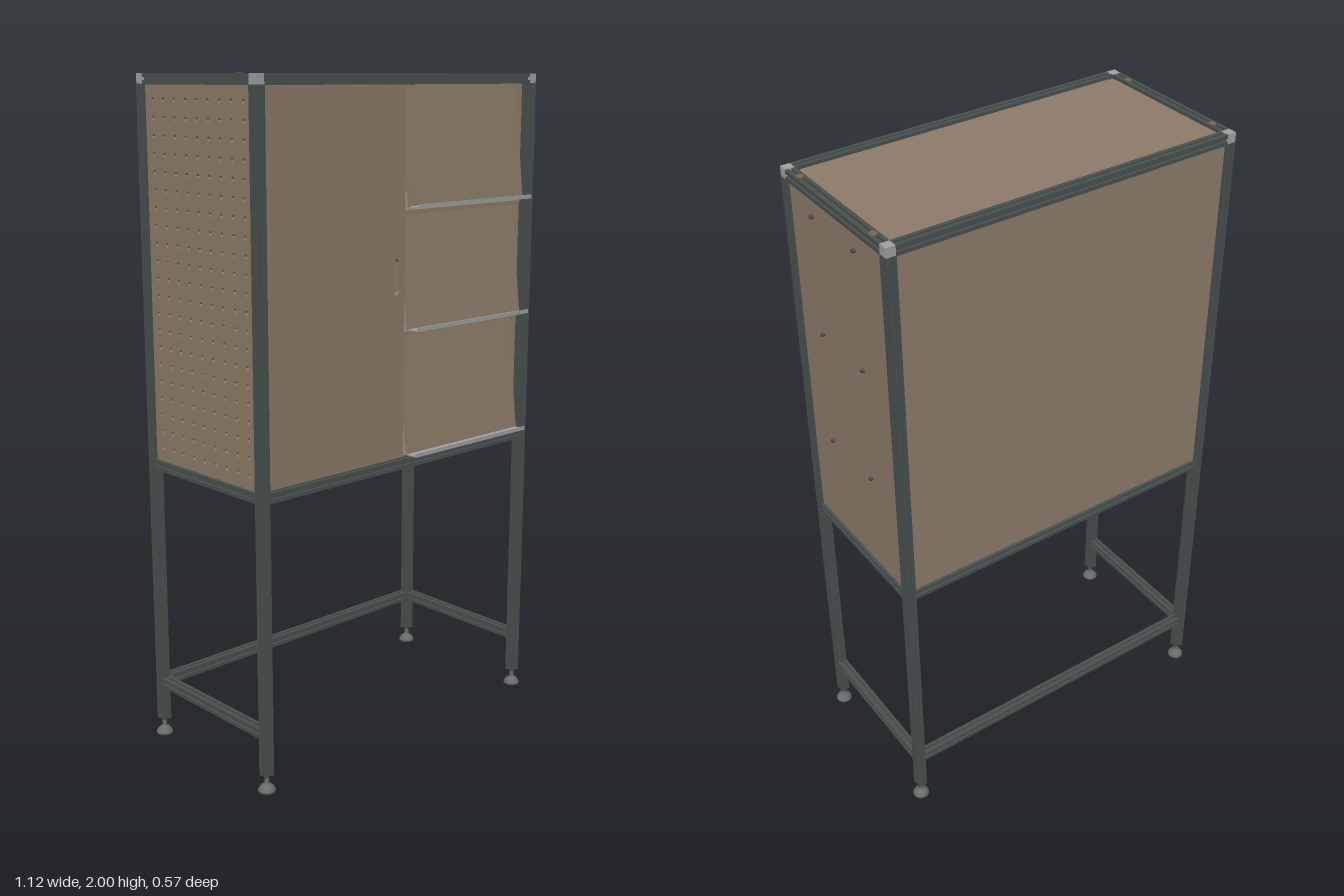
import * as THREE from 'three';

const W = 0.03;                 // beam width
const PX = 0.535;               // post centre, x
const ZF = 0.237, ZB = -0.261;  // post centres, front and back
const ZM = (ZF + ZB) / 2, DZ = ZF - ZB;

function material(name, color) {
  const m = new THREE.MeshStandardMaterial({ color });
  m.name = name;
  return m;
}

// Square beam section with one groove in each side
function beamShape() {
  const h = W / 2, g = 0.004, d = 0.007;
  const side = [[-h, -h], [-g, -h], [-g, -h + d], [g, -h + d], [g, -h]];
  const pts = [];
  for (let i = 0; i < 4; i++) {
    const c = Math.round(Math.cos(i * Math.PI / 2)), s = Math.round(Math.sin(i * Math.PI / 2));
    for (const [x, y] of side) pts.push(new THREE.Vector2(x * c - y * s, x * s + y * c));
  }
  return new THREE.Shape(pts);
}

function pill(cx, cy, w, h) {
  const p = new THREE.Path(), r = w / 2, k = h / 2 - r;
  p.absarc(cx, cy + k, r, 0, Math.PI, false);
  p.absarc(cx, cy - k, r, Math.PI, 2 * Math.PI, false);
  p.closePath();
  return p;
}

function rect(x0, y0, x1, y1) {
  return new THREE.Shape([[x0, y0], [x1, y0], [x1, y1], [x0, y1]].map(p => new THREE.Vector2(...p)));
}

export function createModel() {
  const group = new THREE.Group();
  const frame = material('dark frame', 0x4a5250);
  const board = material('brown board', 0x8f7d6b);
  const metal = material('light metal', 0xa2a3a6);
  const footMat = material('foot grey', 0x686c6b);
  const stud = material('copper brown', 0x80664f);

  const add = (name, geo, mat, x = 0, y = 0, z = 0) => {
    const m = new THREE.Mesh(geo, mat);
    m.name = name;
    m.position.set(x, y, z);
    group.add(m);
    return m;
  };
  const box = (name, mat, w, h, d, x, y, z) => add(name, new THREE.BoxGeometry(w, h, d), mat, x, y, z);
  const beam = (name, len, axis, x, y, z) => {
    const geo = new THREE.ExtrudeGeometry(beamShape(), { depth: len, bevelEnabled: false });
    geo.translate(0, 0, -len / 2);
    if (axis === 'x') geo.rotateY(Math.PI / 2);
    if (axis === 'y') geo.rotateX(Math.PI / 2);
    return add(name, geo, frame, x, y, z);
  };

  // Posts with corner caps and levelling feet
  const footProfile = [[0, 0], [0.0255, 0], [0.0255, 0.007], [0.019, 0.017], [0.009, 0.025],
    [0.007, 0.028], [0.007, 0.055]].map(p => new THREE.Vector2(...p));
  for (const x of [-PX, PX]) for (const z of [ZF, ZB]) {
    beam('post', 1.922, 'y', x, 1.011, z);
    box('cornerCap', metal, 0.028, 0.028, 0.028, x, 1.986, z);
    const foot = add('foot', new THREE.LatheGeometry(footProfile, 24), footMat, x, 0, z);
    foot.material.flatShading = false;
  }

  // Horizontal beams; the lower front stays open
  for (const y of [1.985, 0.874, 0.177]) {
    for (const x of [-PX, PX]) beam('sideBeam', DZ - W, 'z', x, y, ZM);
    beam('backBeam', 2 * PX - W, 'x', 0, y, ZB);
    if (y > 0.5) beam('frontBeam', 2 * PX - W, 'x', 0, y, ZF);
  }
  beam('middleBottomBeam', DZ - W, 'z', 0, 0.874, ZM);

  // Fastener studs on the top side beams
  for (const x of [-PX, PX]) for (const z of [-0.195, 0.17]) {
    const s = add('topStud', new THREE.CylinderGeometry(0.012, 0.012, 0.004, 16), stud, x, 1.9985, z);
    s.scale.x = 0.8;
  }

  // Top panel with clipped corners
  const a = 0.524, b = 0.238, c = 0.022;
  const topShape = new THREE.Shape([[-a + c, -b], [a - c, -b], [a, -b + c], [a, b - c],
    [a - c, b], [-a + c, b], [-a, b - c], [-a, -b + c]].map(p => new THREE.Vector2(...p)));
  const topGeo = new THREE.ExtrudeGeometry(topShape, { depth: 0.01, bevelEnabled: false });
  topGeo.rotateX(-Math.PI / 2);
  add('topPanel', topGeo, board, 0, 1.98, ZM);

  // Back, bottom and plain side panels
  const yLow = 0.886, yHigh = 1.973, yMid = (yLow + yHigh) / 2, hgt = yHigh - yLow;
  box('backPanel', board, 2 * PX - W + 0.006, hgt, 0.012, 0, yMid, ZB);
  for (const s of [-1, 1]) {
    box('bottomPanel', board, PX - W + 0.004, 0.01, DZ - W + 0.004, s * PX / 2, 0.876, ZM);
  }
  box('sidePanel', board, 0.012, hgt, DZ - W + 0.006, PX, yMid, ZM);

  // Perforated side panel
  const hw = (DZ - W + 0.006) / 2;
  const peg = rect(-hw, -hgt / 2, hw, hgt / 2);
  for (let i = -4; i <= 4; i++) for (let j = -10; j <= 10; j++) {
    const hole = new THREE.Path();
    hole.absarc(i * 0.05, j * 0.05, 0.0065, 0, Math.PI * 2, true);
    peg.holes.push(hole);
  }
  const pegGeo = new THREE.ExtrudeGeometry(peg, { depth: 0.01, bevelEnabled: false, curveSegments: 4 });
  pegGeo.translate(0, 0, -0.005);
  pegGeo.rotateY(Math.PI / 2);
  add('perforatedPanel', pegGeo, board, -PX, yMid, ZM);

  // Screws through the plain side panel
  for (const y of [1.915, 1.56, 1.2]) for (const z of [-0.107, 0.105]) {
    const g = new THREE.CylinderGeometry(0.006, 0.006, 0.034, 10);
    g.rotateZ(Math.PI / 2);
    add('sideScrew', g, frame, PX - 0.002, y, z);
  }

  // Divider and shelves
  box('divider', board, 0.018, hgt, DZ - 0.012, 0.002, yMid, ZM);
  for (const y of [1.612, 1.26]) box('shelf', board, 0.505, 0.012, DZ - 0.02, 0.264, y, ZM);

  // Door with a recessed pull
  const doorShape = rect(-0.519, 0.893, -0.012, 1.968);
  doorShape.holes.push(pill(-0.036, 1.432, 0.024, 0.105));
  const doorGeo = new THREE.ExtrudeGeometry(doorShape, { depth: 0.014, bevelEnabled: false, curveSegments: 8 });
  add('door', doorGeo, board, 0, 0, 0.229);
  box('pullBack', board, 0.036, 0.12, 0.004, -0.036, 1.432, 0.227);

  // Leaning flaps, each with a metal channel along its foot
  const channel = new THREE.Shape([[-0.004, 0.032], [-0.004, 0.004], [0.034, 0.004], [0.034, 0.012],
    [0.036, 0.012], [0.036, 0], [-0.008, 0], [-0.008, 0.032]].map(p => new THREE.Vector2(...p)));
  for (const [y0, y1] of [[1.627, 1.968], [1.271, 1.604], [0.894, 1.251]]) {
    const h = y1 - y0;
    const flap = box('flap', board, 0.494, h, 0.008, 0.264, (y0 + y1) / 2, 0.22);
    flap.rotation.x = -Math.atan2(0.04, h);
    const g = new THREE.ExtrudeGeometry(channel, { depth: 0.494, bevelEnabled: false });
    g.rotateY(-Math.PI / 2);
    add('flapChannel', g, metal, 0.511, y0, 0.244);
  }
  return group;
}
